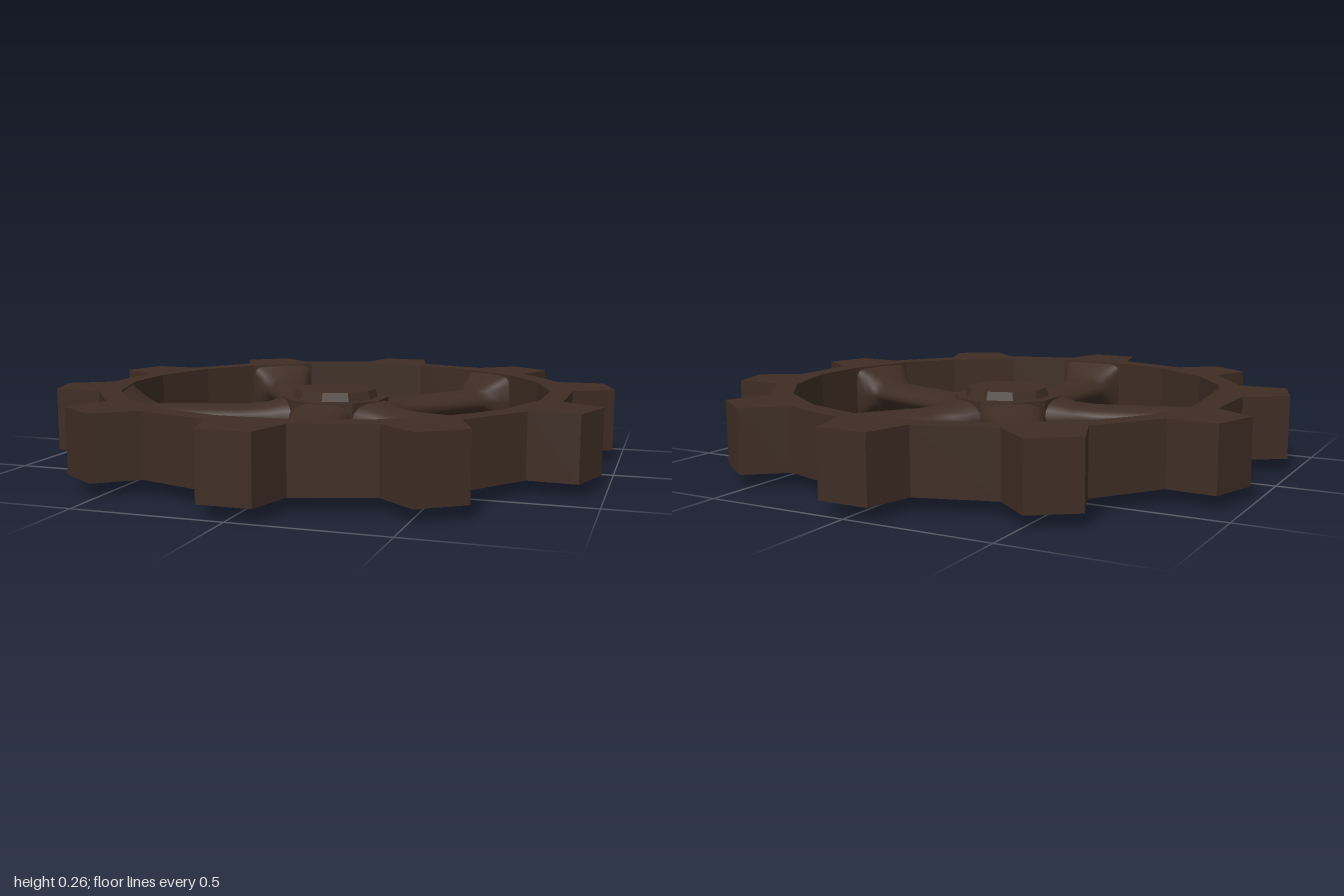
import * as THREE from 'three';

const brown = new THREE.MeshStandardMaterial({ color: 0x3e2d24 });
brown.name = 'darkBrown';
const TEETH = 10, SPOKES = 5;
const BOTTOM = 0.045, TOP = 0.265, MID = (BOTTOM + TOP) / 2;

// Repeats a small [radius, offset] outline around the wheel, one copy per tooth
function polar(outline) {
  const points = [];
  for (let i = 0; i < TEETH; i++) {
    const a = (i / TEETH) * Math.PI * 2 + Math.PI / 2;
    const c = Math.cos(a), s = Math.sin(a);
    for (const [r, t] of outline) points.push(new THREE.Vector2(c * r - s * t, s * r + c * t));
  }
  return points;
}

// Toothed rim with a twenty-sided opening
function rimGeometry() {
  const shape = new THREE.Shape(polar([[0.84, -0.13], [1, -0.088], [1, 0.088], [0.84, 0.13]]));
  shape.holes.push(new THREE.Path(polar([[0.76, -0.13], [0.76, 0.13]])));
  const g = new THREE.ExtrudeGeometry(shape, { depth: TOP - BOTTOM, bevelEnabled: false });
  return g.rotateX(-Math.PI / 2).translate(0, BOTTOM, 0);
}

// Flat oval spoke lofted along +z, flaring into the hub and the rim.
// Sections: distance, half width, half height, roundness (1 = ellipse)
function spokeGeometry() {
  const sections = [
    [0.1, 0.12, 0.075, 0.8], [0.19, 0.115, 0.07, 0.8], [0.25, 0.095, 0.052, 0.9],
    [0.33, 0.09, 0.045, 1], [0.66, 0.09, 0.045, 1], [0.69, 0.1, 0.06, 0.8],
    [0.73, 0.113, 0.085, 0.55], [0.765, 0.13, 0.108, 0.3],
  ];
  const n = 16, pos = [], index = [];
  const power = (v, p) => Math.sign(v) * Math.pow(Math.abs(v), p);
  for (const [z, w, h, p] of sections) {
    for (let i = 0; i < n; i++) {
      const a = (i / n) * Math.PI * 2;
      pos.push(w * power(Math.cos(a), p), MID + h * power(Math.sin(a), p), z);
    }
  }
  for (let s = 0; s < sections.length - 1; s++) {
    for (let i = 0; i < n; i++) {
      const a = s * n + i, b = s * n + (i + 1) % n;
      index.push(a, b, b + n, a, b + n, a + n);
    }
  }
  const g = new THREE.BufferGeometry();
  g.setAttribute('position', new THREE.Float32BufferAttribute(pos, 3));
  g.setIndex(index);
  g.computeVertexNormals();
  return g;
}

// Faceted drum between two heights
function drum(rTop, rBottom, y0, y1, sides) {
  const g = new THREE.CylinderGeometry(rTop, rBottom, y1 - y0, sides).toNonIndexed();
  g.translate(0, (y0 + y1) / 2, 0);
  g.computeVertexNormals();
  return g;
}

export function createModel() {
  const model = new THREE.Group();
  model.name = 'toothedWheel';
  const add = (name, geometry) => {
    const mesh = new THREE.Mesh(geometry, brown);
    mesh.name = name;
    model.add(mesh);
    return mesh;
  };

  add('toothedRim', rimGeometry());

  const spoke = spokeGeometry();
  for (let i = 0; i < SPOKES; i++) {
    add('spoke' + (i + 1), spoke).rotation.y = (i / SPOKES) * Math.PI * 2;
  }

  // Hub with a raised cap
  add('hub', drum(0.195, 0.195, 0.095, 0.228, 10));
  add('hubCap', drum(0.145, 0.155, 0.228, 0.258, 10));

  // Eight-sided foot with a sloping top
  add('footPlate', drum(0.333, 0.333, 0, 0.042, 8));
  add('footSlope', drum(0.18, 0.333, 0.042, 0.1, 8));
  return model;
}
